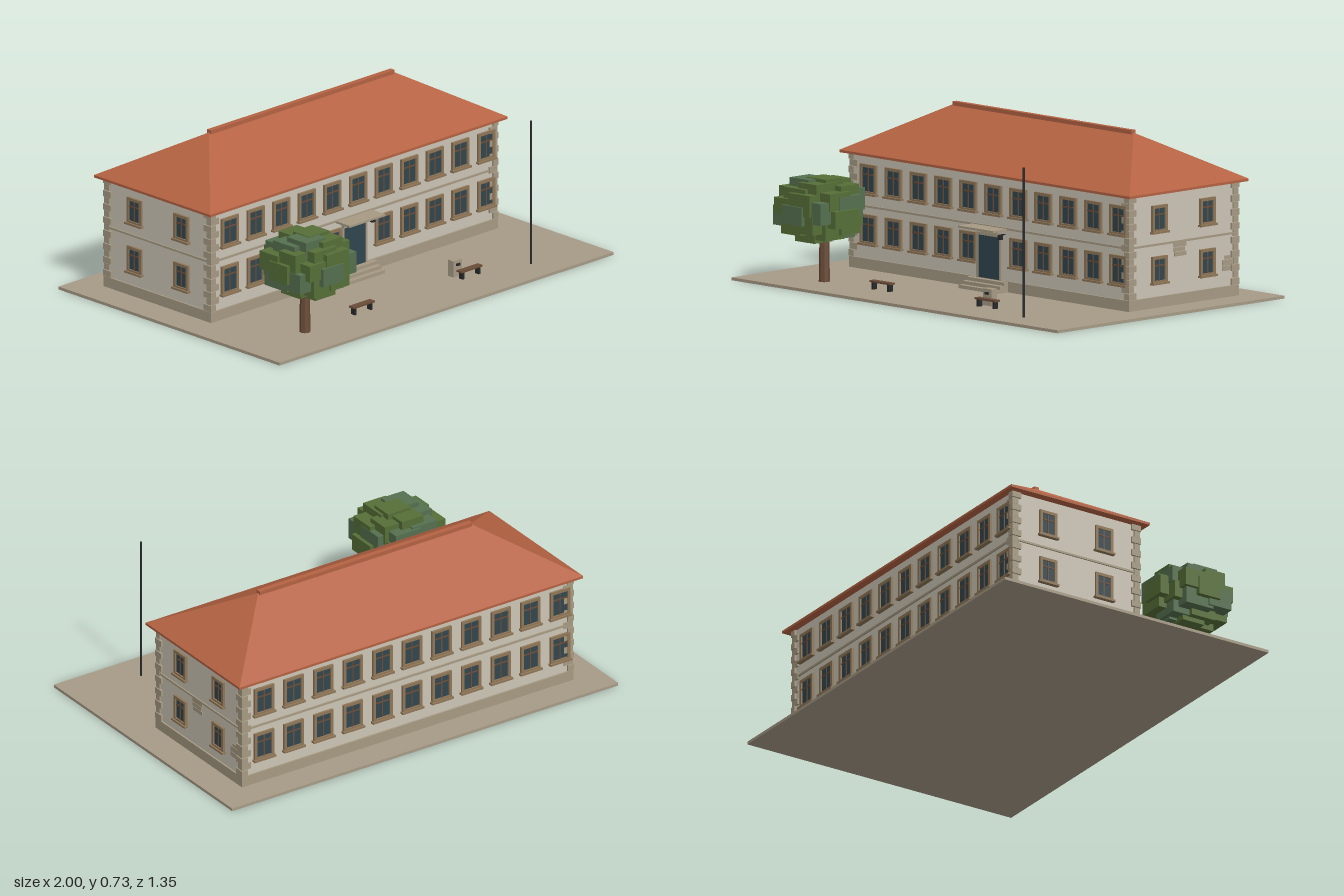
import * as THREE from 'three';

const mat = (name, color, side = THREE.FrontSide) => {
  const m = new THREE.MeshStandardMaterial({ color, flatShading: true, side });
  m.name = name;
  return m;
};

export function createModel() {
  const M = {
    wall: mat('pale plaster', 0xccc5b6),
    stone: mat('tan stone', 0xa69a83),
    ground: mat('ground', 0xa79b86),
    roof: mat('terracotta', 0xb46242),
    trim: mat('window trim', 0x8f7758),
    glass: mat('dark glass', 0x30464f),
    wood: mat('brown wood', 0x6b4d39),
    metal: mat('dark metal', 0x26282a),
    leafA: mat('leaf green', 0x566f37),
    leafB: mat('blue green leaf', 0x55704f),
  };
  const model = new THREE.Group();
  model.name = 'townHall';

  const group = (name, parent = model) => {
    const g = new THREE.Group();
    g.name = name;
    parent.add(g);
    return g;
  };
  // box given by its minimum and maximum corners
  const box = (parent, name, m, x0, x1, y0, y1, z0, z1) => {
    const mesh = new THREE.Mesh(new THREE.BoxGeometry(x1 - x0, y1 - y0, z1 - z0), m);
    mesh.position.set((x0 + x1) / 2, (y0 + y1) / 2, (z0 + z1) / 2);
    mesh.name = name;
    parent.add(mesh);
    return mesh;
  };

  const X = 0.85, ZC = -0.215, ZH = 0.32, TOP = 0.512, BASE = 0.013;

  box(model, 'groundSlab', M.ground, -1, 1, 0, BASE, -0.675, 0.675);

  // main body
  const body = group('building');
  box(body, 'walls', M.wall, -X, X, BASE, TOP, ZC - ZH, ZC + ZH);
  box(body, 'plinth', M.stone, -X - 0.008, X + 0.008, BASE, 0.06, ZC - ZH - 0.008, ZC + ZH + 0.008);
  box(body, 'stringCourse', M.stone, -X - 0.006, X + 0.006, 0.281, 0.29, ZC - ZH - 0.006, ZC + ZH + 0.006);

  // corner quoins, long side alternating
  const quoins = group('quoins', body);
  const rows = 15, step = (TOP - 0.062) / rows;
  for (const sx of [-1, 1]) for (const sz of [-1, 1]) for (let i = 0; i < rows; i++) {
    const even = i % 2 === 0, wx = even ? 0.03 : 0.046, wz = even ? 0.046 : 0.03;
    const out = even ? 0.01 : 0.007;
    const ax = sx * (X + out), bx = sx * (X + out - wx);
    const az = ZC + sz * (ZH + out), bz = ZC + sz * (ZH + out - wz);
    const y = 0.062 + i * step;
    box(quoins, 'quoin', M.stone, Math.min(ax, bx), Math.max(ax, bx), y, y + step - 0.002,
      Math.min(az, bz), Math.max(az, bz));
  }

  // window facing +z, centred on x, standing on y0
  const addWindow = (parent, x, y0, w, h) => {
    const g = group('window', parent);
    g.position.set(x, y0, 0);
    const a = w / 2, t = 0.013, d = 0.011;
    box(g, 'pane', M.glass, -a + t, a - t, t, h - t, 0, 0.004);
    for (const s of [-1, 1])
      box(g, 'jamb', M.trim, s < 0 ? -a : a - t, s < 0 ? -a + t : a, 0, h, 0, d);
    box(g, 'head', M.trim, -a + t, a - t, h - t, h, 0, d);
    box(g, 'bottomRail', M.trim, -a + t, a - t, 0, t, 0, d);
    box(g, 'mullion', M.wood, -0.003, 0.003, t, h - t, 0.002, 0.007);
    box(g, 'transom', M.wood, -a + t, a - t, h * 0.66 - 0.003, h * 0.66 + 0.003, 0.002, 0.007);
    box(g, 'sill', M.trim, -a - 0.006, a + 0.006, -0.004, 0.005, 0, 0.019);
  };

  // long facades
  for (const front of [true, false]) {
    const f = group(front ? 'frontFacade' : 'backFacade', body);
    f.position.z = ZC + (front ? ZH : -ZH);
    f.rotation.y = front ? 0 : Math.PI;
    for (let i = 0; i < 11; i++) {
      const x = -0.743 + i * 0.1533;
      addWindow(f, x, 0.338, 0.1, 0.13);
      if (!(front && i === 5)) addWindow(f, x, 0.121, 0.1, 0.13);
    }
  }
  // short facades
  for (const s of [-1, 1]) {
    const f = group(s > 0 ? 'rightFacade' : 'leftFacade', body);
    f.position.set(s * X, 0, ZC);
    f.rotation.y = s * Math.PI / 2;
    for (const x of [-0.143, 0.143]) for (const y of [0.338, 0.117]) addWindow(f, x, y, 0.088, 0.118);
  }

  // bare stone where the plaster has fallen off: z0, z1, y0, y1
  const patches = group('bareStone', body);
  for (const [z0, z1, y0, y1] of [
    [-0.235, -0.16, 0.262, 0.281], [-0.225, -0.16, 0.242, 0.26], [-0.235, -0.165, 0.222, 0.24],
    [-0.505, -0.465, 0.176, 0.192], [-0.505, -0.45, 0.15, 0.174], [-0.505, -0.45, 0.127, 0.148],
  ]) box(patches, 'stonePatch', M.stone, X, X + 0.004, y0, y1, z0, z1);

  // hipped roof
  const roof = group('roof');
  const ex = 0.89, ez = 0.355, ey = 0.519, rx = 0.55, ry = 0.718;
  box(roof, 'eaves', M.roof, -ex, ex, 0.508, ey, ZC - ez, ZC + ez);
  const A = [-ex, ey, ZC + ez], B = [ex, ey, ZC + ez], C = [ex, ey, ZC - ez], D = [-ex, ey, ZC - ez];
  const L = [-rx, ry, ZC], R = [rx, ry, ZC];
  const hip = new THREE.BufferGeometry();
  hip.setAttribute('position', new THREE.Float32BufferAttribute(
    [A, B, R, A, R, L, B, C, R, C, D, L, C, L, R, D, A, L].flat(), 3));
  hip.computeVertexNormals();
  const slopes = new THREE.Mesh(hip, M.roof);
  slopes.name = 'roofSlopes';
  roof.add(slopes);
  box(roof, 'ridgeCap', M.roof, -rx, rx, 0.708, 0.729, ZC - 0.012, ZC + 0.012);

  // entrance
  const door = group('entrance');
  const F = ZC + ZH;
  box(door, 'doorLeaf', M.glass, -0.065, 0.065, 0.055, 0.245, F, F + 0.008);
  box(door, 'doorLintel', M.stone, -0.07, 0.07, 0.245, 0.258, F, F + 0.014);
  box(door, 'doorCornice', M.stone, -0.055, 0.055, 0.258, 0.277, F, F + 0.012);
  for (const s of [-1, 1])
    box(door, 'doorJamb', M.stone, s * 0.07 - 0.005, s * 0.07 + 0.005, 0.055, 0.245, F, F + 0.012);
  box(door, 'canopy', M.stone, -0.107, 0.107, 0.277, 0.286, F, 0.193);
  for (let i = 0; i < 3; i++)
    box(door, 'doorStep', M.stone, -0.115, 0.115, BASE + i * 0.015, BASE + (i + 1) * 0.015, F, 0.182 - i * 0.023);
  box(door, 'lampArm', M.metal, 0.087, 0.093, 0.258, 0.263, F, 0.14);
  box(door, 'lampHead', M.metal, 0.081, 0.099, 0.24, 0.259, 0.125, 0.14);

  // benches
  for (const x of [-0.297, 0.348]) {
    const b = group('bench');
    b.position.x = x;
    box(b, 'benchSeat', M.wood, -0.063, 0.063, 0.044, 0.052, 0.446, 0.476);
    for (const s of [-1, 1])
      box(b, 'benchLeg', M.metal, s * 0.048 - 0.005, s * 0.048 + 0.005, BASE, 0.044, 0.449, 0.473);
  }

  // small stone marker
  const marker = group('stoneMarker');
  box(marker, 'markerBlock', M.stone, 0.285, 0.338, BASE, 0.086, 0.393, 0.426);
  box(marker, 'markerPlate', M.metal, 0.302, 0.321, 0.062, 0.072, 0.426, 0.434);

  // flagpole
  const pole = new THREE.Mesh(new THREE.CylinderGeometry(0.005, 0.005, 0.648, 8), M.metal);
  pole.position.set(0.645, BASE + 0.324, 0.533);
  pole.name = 'flagpole';
  model.add(pole);

  // tree with a crown of overlapping blocks
  const tree = group('tree');
  const trunk = new THREE.Mesh(new THREE.CylinderGeometry(0.02, 0.024, 0.26, 8), M.wood);
  trunk.position.set(-0.645, BASE + 0.13, 0.468);
  trunk.name = 'trunk';
  tree.add(trunk);
  let seed = 11;
  const rand = () => (seed = (seed * 16807) % 2147483647) / 2147483647;
  const N = 34;
  for (let i = 0; i < N; i++) {
    const v = 1 - 2 * (i + 0.5) / N, r = Math.sqrt(1 - v * v), a = i * 2.39996;
    const k = 0.82 + 0.18 * rand(), w = 0.05 + 0.02 * rand(), h = 0.036 + 0.012 * rand(), d = 0.05 + 0.02 * rand();
    const x = -0.65 + 0.125 * k * r * Math.cos(a), y = 0.332 + 0.1 * v, z = 0.485 + 0.125 * k * r * Math.sin(a);
    box(tree, 'leafBlock', i % 3 === 1 ? M.leafB : M.leafA, x - w, x + w, y - h, y + h, z - d, z + d);
  }
  return model;
}
